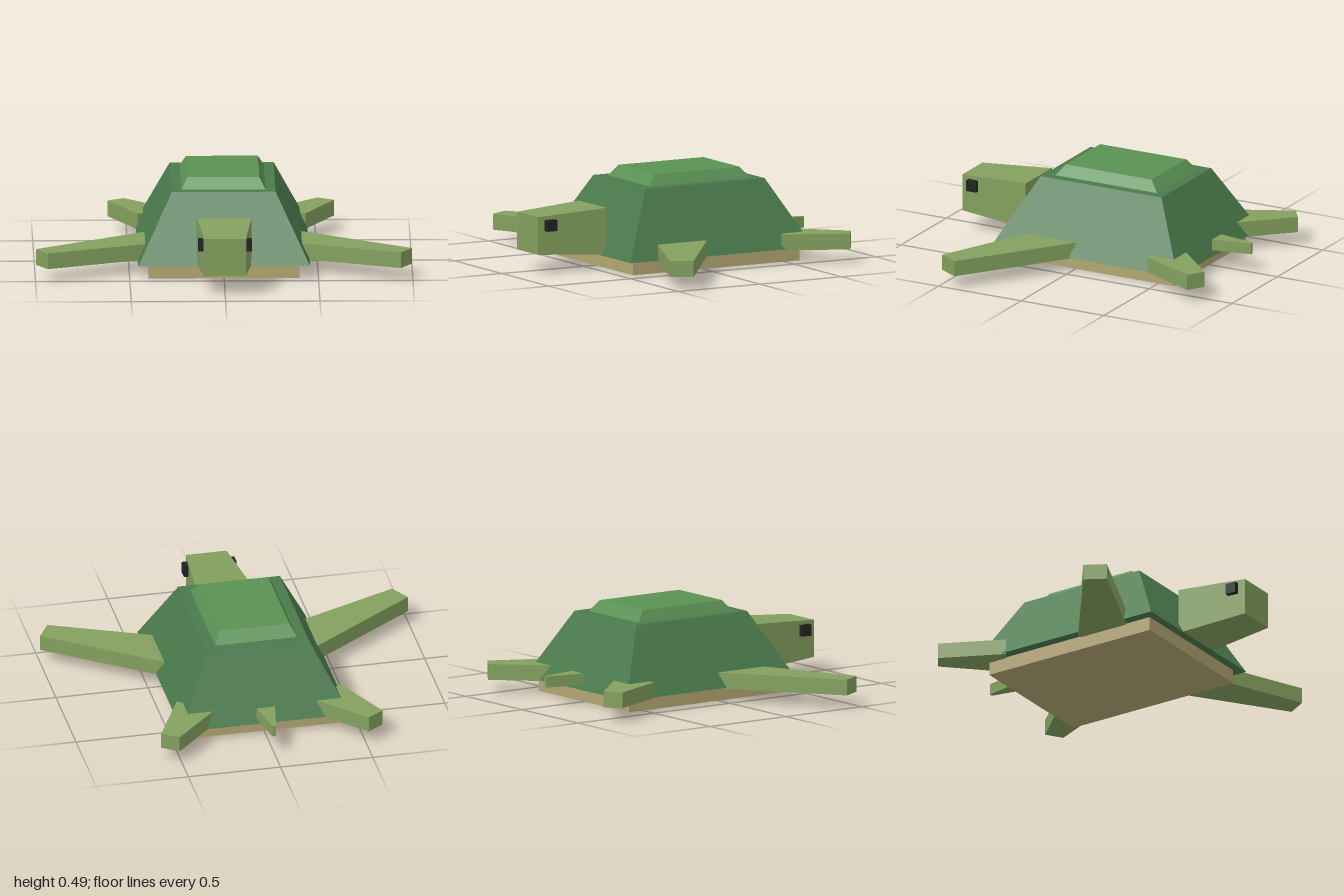
import * as THREE from 'three';

const material = (name, color) => {
  const m = new THREE.MeshStandardMaterial({ color });
  m.name = name;
  return m;
};

// Box whose low and high ends along one axis have different extents.
// Each end is [[xMin, xMax], [yMin, yMax], [zMin, zMax]].
function taperedBox(axis, low, high) {
  const geometry = new THREE.BoxGeometry(2, 2, 2);
  const p = geometry.attributes.position;
  for (let i = 0; i < p.count; i++) {
    const corner = [p.getX(i), p.getY(i), p.getZ(i)];
    const end = corner[axis] > 0 ? high : low;
    p.setXYZ(i, ...corner.map((c, k) => end[k][c > 0 ? 1 : 0]));
  }
  geometry.computeVertexNormals();
  return geometry;
}

// Flat slab from an outline of [x, z] points, between two heights.
function slab(outline, y0, y1) {
  const shape = new THREE.Shape(outline.map(([x, z]) => new THREE.Vector2(x, -z)));
  const geometry = new THREE.ExtrudeGeometry(shape, { depth: y1 - y0, bevelEnabled: false });
  return geometry.rotateX(-Math.PI / 2).translate(0, y0, 0);
}

export function createModel() {
  const group = new THREE.Group();
  group.name = 'turtle';
  const skin = material('skin green', 0x83a05e);
  const shellGreen = material('shell green', 0x4a7a4c);
  const capGreen = material('shell cap green', 0x5a9254);
  const bellyTan = material('belly tan', 0xb4a673);
  const eyeBlack = material('eye black', 0x222222);

  const add = (name, geometry, mat) => {
    const mesh = new THREE.Mesh(geometry, mat);
    mesh.name = name;
    group.add(mesh);
  };

  // Belly plate
  add('belly', new THREE.BoxGeometry(0.8, 0.076, 1.02).translate(0, 0.038, -0.08), bellyTan);

  // Shell and its raised cap
  add('shell', taperedBox(1,
    [[-0.455, 0.455], [0.075, 0.075], [-0.645, 0.475]],
    [[-0.275, 0.275], [0.435, 0.435], [-0.45, 0.28]]), shellGreen);
  add('shellCap', taperedBox(1,
    [[-0.225, 0.225], [0.43, 0.43], [-0.4, 0.225]],
    [[-0.19, 0.19], [0.493, 0.493], [-0.345, 0.175]]), capGreen);

  // Head, narrowing toward the snout
  add('head', taperedBox(2,
    [[-0.145, 0.145], [0.077, 0.328], [0.443, 0.443]],
    [[-0.11, 0.11], [0.103, 0.304], [0.843, 0.843]]), skin);

  // Flippers and eyes on both sides
  const frontOutline = [[0.41, -0.02], [0.997, 0.404], [0.935, 0.513], [0.275, 0.226]];
  const rearOutline = [[0.445, -0.455], [0.6, -0.783], [0.513, -0.842], [0.259, -0.58]];
  for (const [side, s] of [['left', 1], ['right', -1]]) {
    const mirrored = (outline) => outline.map(([x, z]) => [x * s, z]);
    add(`${side}FrontFlipper`, slab(mirrored(frontOutline), 0.07, 0.155), skin);
    add(`${side}RearFlipper`, slab(mirrored(rearOutline), 0.07, 0.155), skin);
    add(`${side}Eye`, new THREE.BoxGeometry(0.06, 0.06, 0.06).translate(0.113 * s, 0.257, 0.773), eyeBlack);
  }

  // Tail, tapering backward
  add('tail', slab([[-0.05, -0.633], [0.05, -0.633], [0.01, -0.845], [-0.01, -0.845]], 0.103, 0.163), skin);

  return group;
}
